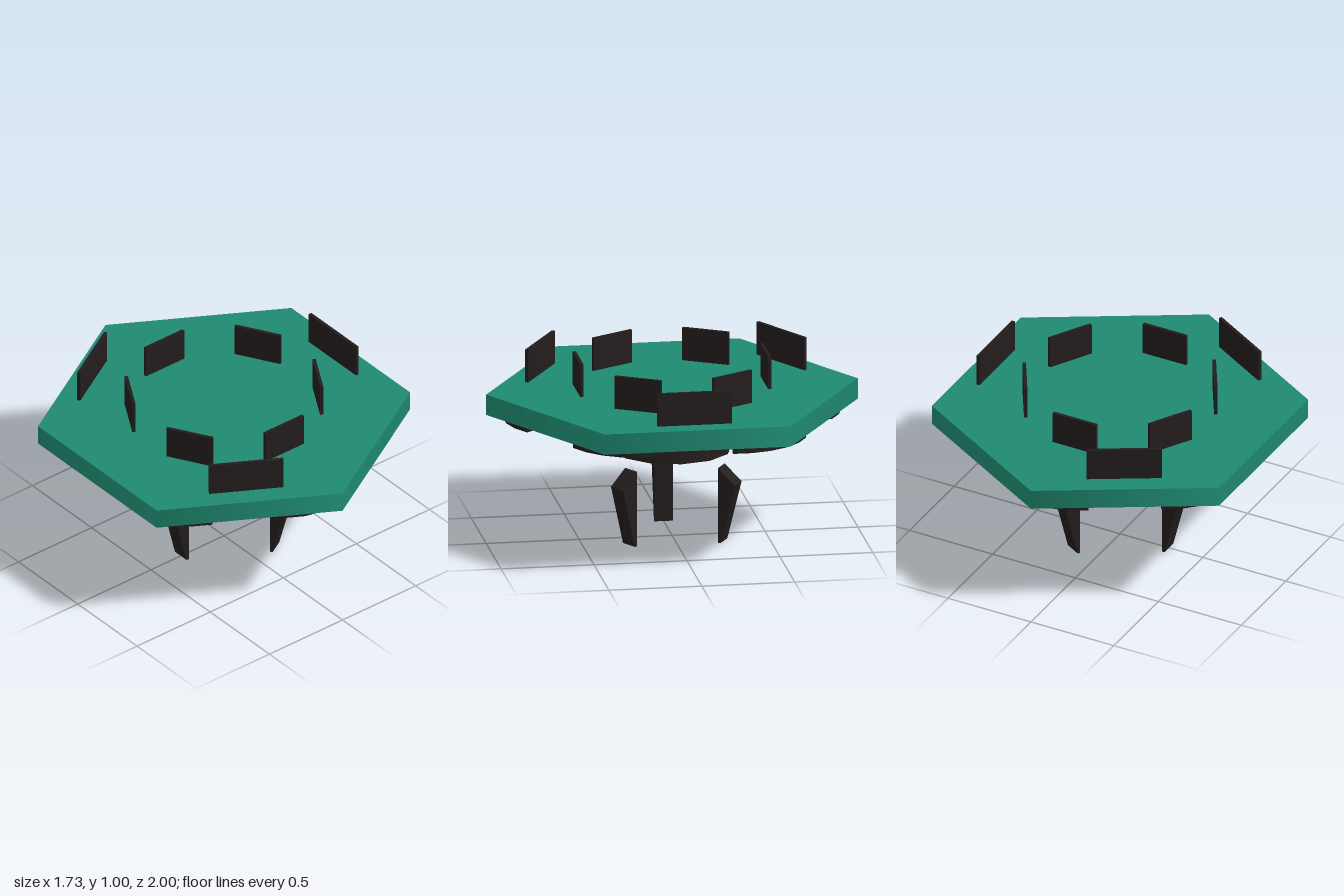
import * as THREE from 'three';

const green = new THREE.MeshStandardMaterial({ color: 0x1f8a70 });
const dark = new THREE.MeshStandardMaterial({ color: 0x231c1c });
const darkOpen = new THREE.MeshStandardMaterial({ color: 0x231c1c, side: THREE.DoubleSide });

export function createModel() {
  const model = new THREE.Group();

  function add(name, geometry, material, y = 0) {
    const mesh = new THREE.Mesh(geometry, material);
    mesh.name = name;
    mesh.position.y = y;
    model.add(mesh);
    return mesh;
  }

  // Hexagonal plate with corners on the z axis
  add('plate', new THREE.CylinderGeometry(1, 1, 0.112, 6), green, 0.766);

  // Upright panel at a distance from the centre, turned from +z towards +x
  function panel(name, width, radius, angle) {
    const geometry = new THREE.BoxGeometry(width, 0.18, 0.018);
    geometry.translate(0, 0, radius);
    add(name, geometry, dark, 0.912).rotation.y = angle;
  }
  for (let i = 0; i < 6; i++) panel('innerPanel', 0.262, 0.505, i * Math.PI / 3);
  for (let i = 0; i < 3; i++) panel('outerPanel', 0.4, 0.75, Math.PI / 2 + i * Math.PI * 2 / 3);

  // Tapered hub with an open collar beneath it
  add('hub', new THREE.CylinderGeometry(0.457, 0.377, 0.12, 12), dark, 0.65);
  add('collar', new THREE.CylinderGeometry(0.318, 0.318, 0.11, 12, 1, true), darkOpen, 0.536);

  // Curved pads under each corner, bulging outwards
  const segments = 5, half = 0.656, points = [];
  for (const [radius, dir] of [[0.41, 1], [0.35, -1]]) {
    for (let i = 0; i <= segments; i++) {
      const a = dir * half * (1 - 2 * i / segments);
      points.push(new THREE.Vector2(Math.sin(a) * radius, 0.495 + Math.cos(a) * radius));
    }
  }
  const padGeometry = new THREE.ExtrudeGeometry(new THREE.Shape(points), { depth: 0.036, bevelEnabled: false });
  padGeometry.rotateX(Math.PI / 2);
  for (let i = 0; i < 6; i++) add('cornerPad', padGeometry, dark, 0.711).rotation.y = i * Math.PI / 3;

  // Three barbed legs: profile in radius and height, extruded sideways
  const profile = new THREE.Shape([[0.28, 0], [0.295, 0], [0.377, 0.325], [0.28, 0.412]]
    .map(([r, y]) => new THREE.Vector2(r, y)));
  const legGeometry = new THREE.ExtrudeGeometry(profile, { depth: 0.1, bevelEnabled: false });
  legGeometry.translate(0, 0, -0.05);
  for (let i = 0; i < 3; i++) add('leg', legGeometry, dark).rotation.y = Math.PI + i * Math.PI * 2 / 3;

  return model;
}
